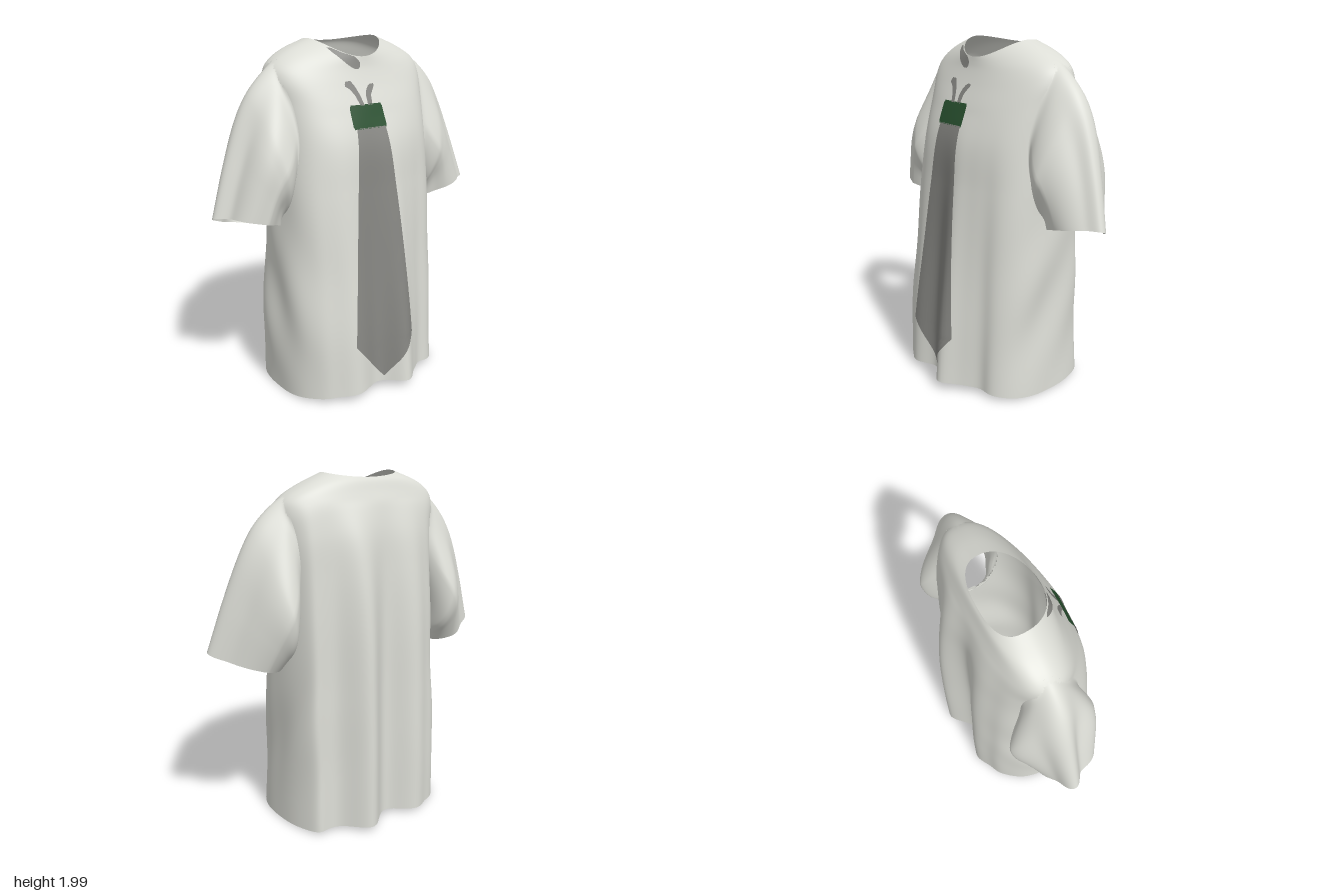
import * as THREE from 'three';

const fabric = new THREE.MeshStandardMaterial({ color: 0xdcddd6, side: THREE.DoubleSide });
fabric.name = 'offWhiteFabric';
const grey = new THREE.MeshStandardMaterial({ color: 0x868682, side: THREE.DoubleSide });
grey.name = 'greyPrint';
const green = new THREE.MeshStandardMaterial({ color: 0x28502f, side: THREE.DoubleSide });
green.name = 'darkGreenPrint';

const { smoothstep } = THREE.MathUtils;
const bump = (v, centre, width) => Math.exp(-(((v - centre) / width) ** 2));

// Smooth lookup through rows of [t, ...values]
function profile(rows) {
  const values = rows.flatMap((r) => r.slice(1));
  const curve = new THREE.CubicInterpolant(rows.map((r) => r[0]), values, rows[0].length - 1);
  return (t) => Array.from(curve.evaluate(t));
}

// Grid of points joined into a surface; closed wraps the columns, isHole leaves faces out
function surface(point, rows, cols, closed, isHole = () => false) {
  const pos = [], idx = [];
  const n = closed ? cols : cols + 1;
  for (let i = 0; i <= rows; i++)
    for (let j = 0; j < n; j++) pos.push(...point(i / rows, j / cols));
  for (let i = 0; i < rows; i++)
    for (let j = 0; j < cols; j++) {
      if (isHole((i + 0.5) / rows, (j + 0.5) / cols)) continue;
      const a = i * n + j, b = i * n + ((j + 1) % n), c = a + n, d = b + n;
      idx.push(a, c, b, b, c, d);
    }
  const g = new THREE.BufferGeometry();
  g.setAttribute('position', new THREE.Float32BufferAttribute(pos, 3));
  g.setIndex(idx);
  g.computeVertexNormals();
  return g;
}

function part(name, geometry, material) {
  const m = new THREE.Mesh(geometry, material);
  m.name = name;
  return m;
}

// Body rings: t, front y, side y, back y, right x, left x, front z, back z, squareness
const bodyAt = profile([
  [0.00, 0.06, 0.01, 0.04, -0.54, 0.47, 0.375, -0.385, 3.0],
  [0.20, 0.40, 0.40, 0.40, -0.54, 0.455, 0.36, -0.38, 3.0],
  [0.40, 0.80, 0.80, 0.80, -0.515, 0.46, 0.33, -0.37, 2.9],
  [0.58, 1.20, 1.20, 1.20, -0.50, 0.46, 0.30, -0.36, 2.8],
  [0.70, 1.45, 1.48, 1.48, -0.49, 0.465, 0.275, -0.345, 2.6],
  [0.78, 1.62, 1.67, 1.67, -0.50, 0.48, 0.22, -0.325, 2.45],
  [0.85, 1.75, 1.80, 1.81, -0.52, 0.49, 0.165, -0.29, 2.3],
  [0.91, 1.83, 1.875, 1.90, -0.49, 0.455, 0.135, -0.255, 2.1],
  [0.96, 1.87, 1.94, 1.95, -0.39, 0.34, 0.125, -0.235, 2.0],
  [1.00, 1.90, 1.995, 1.97, -0.25, 0.20, 0.12, -0.22, 2.0],
]);

// Drape folds: x position, width, depth at the hem
const frontFolds = [[-0.27, 0.1, 0.045], [0.05, 0.09, 0.095], [-0.1, 0.07, -0.015], [0.26, 0.06, -0.03], [-0.43, 0.05, 0.012]];
const backFolds = [[-0.24, 0.1, 0.055], [0.12, 0.09, 0.085], [-0.06, 0.08, -0.04], [0.27, 0.06, -0.02], [0.4, 0.05, 0.04], [-0.4, 0.06, 0.02]];

function bodyPoint(t, u) {
  const [yF, yS, yB, xR, xL, zF, zB, square] = bodyAt(t);
  const a = u * Math.PI * 2, c = Math.cos(a), s = Math.sin(a);
  const n = square + (s < 0 ? 0.7 * smoothstep(t, 0.8, 1) : 0);
  const r = (Math.abs(c) ** n + Math.abs(s) ** n) ** (-1 / n);
  const ridge = -0.09 * smoothstep(t, 0.4, 0.9);
  const x = (xL + xR) / 2 + ((xL - xR) / 2) * r * c;
  const y = yS + ((s > 0 ? yF : yB) - yS) * s * s;
  let z = ridge + ((s > 0 ? zF : zB) - ridge) * r * Math.abs(s);
  // back folds run up to the shoulder blades
  const fade = Math.max(0, 1 - (s > 0 ? y / 1.6 : (y / 1.85) ** 3.5)) * Math.min(1, Math.abs(s) * 1.6);
  for (const [fx, w, d] of s > 0 ? frontFolds : backFolds)
    z += Math.sign(s) * d * fade * bump(x, fx, w);
  // soft side creases
  const crease = 0.01 * Math.sin(y * 9 + z * 14) * c * c * bump(y, 0.6, 0.45);
  return [x + crease * Math.sign(c), y, z];
}

// Armholes: ovals on the body grid, centred on each side
const armhole = { t: 0.725, height: 0.205, width: 0.085 };
const inArmhole = (t, u) => {
  const du = Math.abs(((u * 2 + 0.5) % 1) - 0.5) / 2;
  return Math.hypot((t - armhole.t) / armhole.height, du / armhole.width) < 0.93;
};

// Sleeve rings: t, outer x, outer y, inner x, inner y, front z, back z
const sleeveAt = profile([
  [0.00, 0.46, 1.86, 0.45, 1.09, 0.10, -0.25],
  [0.20, 0.54, 1.815, 0.46, 1.07, 0.155, -0.31],
  [0.35, 0.61, 1.74, 0.47, 1.05, 0.17, -0.33],
  [0.55, 0.69, 1.60, 0.48, 1.03, 0.16, -0.32],
  [0.80, 0.785, 1.35, 0.485, 1.01, 0.14, -0.27],
  [1.00, 0.87, 1.08, 0.485, 0.99, 0.125, -0.215],
]);

// Sleeve folds: angle from the outer edge toward the front, width, depth
const sleeveFolds = {
  right: [[0.6, 0.3, -0.16], [1.1, 0.3, 0.2], [2.1, 0.4, -0.1], [-0.8, 0.3, -0.1], [-1.4, 0.3, 0.06]],
  left: [[0.6, 0.3, -0.1], [1.2, 0.3, 0.05], [2, 0.35, -0.08], [-0.7, 0.3, -0.12], [-1.3, 0.3, 0.06]],
};

function sleeve(name, side) {
  const folds = sleeveFolds[name];
  const point = (t, u) => {
    const [ox, oy, ix, iy, zF, zB] = sleeveAt(t);
    const a = (u * 2 - 1) * Math.PI, c = Math.cos(a), s = Math.sin(a);
    const outer = Math.max(0, c);
    let k = 1;
    for (const [fa, w, d] of folds) k += d * bump(a, fa, w) * smoothstep(t, 0.1, 0.75);
    const along = (c - 0.22 * s * s) * k;
    const shift = side < 0 ? 0.025 * (1 - t * outer) : 0;
    const x = (ox + ix) / 2 + ((ox - ix) / 2) * along + shift;
    const y = (oy + iy) / 2 + ((oy - iy) / 2) * along + 0.035 * t * s;
    // narrow toward the outer edge, which leans back on the right and forward on the left
    const z = (zF + zB) / 2 + ((zF - zB) / 2) * s * k * (1 - 0.38 * outer) + side * 0.05 * t * t * outer;
    // grow out of the armhole
    const du = armhole.width * s;
    const root = bodyPoint(armhole.t + armhole.height * c, side > 0 ? du : 0.5 - du);
    const w = Math.sin(Math.min(1, t / 0.4) * Math.PI / 2);
    return [side * x, y, z].map((v, i) => root[i] + (v - root[i]) * w);
  };
  return part(name + 'Sleeve', surface(point, 48, 96, true), fabric);
}

// Printed shapes: rows of y, right edge x, left edge x
const prints = [
  ['tieBlade', grey, 60, 16, [[0.095, -0.072, -0.066], [0.335, -0.278, 0.115], [1.535, -0.168, 0.022]]],
  ['tieKnot', green, 8, 12, [[1.53, -0.18, 0.028], [1.54, -0.187, 0.031], [1.64, -0.187, 0.028], [1.655, -0.178, 0.022]]],
  ['rightStrand', grey, 10, 4, [[1.65, -0.115, -0.088], [1.70, -0.132, -0.1], [1.735, -0.155, -0.114], [1.755, -0.187, -0.124], [1.778, -0.172, -0.142]]],
  ['leftStrand', grey, 10, 4, [[1.65, -0.064, -0.035], [1.70, -0.063, -0.028], [1.73, -0.05, -0.006], [1.745, -0.037, 0.007], [1.757, -0.018, 0.005]]],
  ['collarMark', grey, 14, 10, [[1.837, -0.095, -0.068], [1.85, -0.12, -0.058], [1.87, -0.145, -0.055], [1.9, -0.175, -0.08], [1.925, -0.2, -0.15], [1.95, -0.218, -0.2]]],
];

export function createModel() {
  const group = new THREE.Group();
  group.name = 'tShirt';
  const body = part('body', surface(bodyPoint, 100, 180, true, inArmhole), fabric);
  group.add(body, sleeve('right', -1), sleeve('left', 1));

  // Prints follow the front of the body, on its outside and inside
  body.updateMatrixWorld();
  const ray = new THREE.Raycaster();
  const inward = new THREE.Vector3(0, 0, -1);
  const frontZ = (x, y) => {
    ray.set(new THREE.Vector3(x, y, 2), inward);
    return ray.intersectObject(body)[0].point.z;
  };
  for (const [name, material, rows, cols, outline] of prints) {
    const edges = (y) => {
      const k = Math.max(1, outline.findIndex((row) => row[0] >= y - 1e-6));
      const [a, b] = [outline[k - 1], outline[k]];
      const f = (y - a[0]) / (b[0] - a[0]);
      return [a[1] + (b[1] - a[1]) * f, a[2] + (b[2] - a[2]) * f];
    };
    const point = (v, u) => {
      const y = outline[0][0] + (outline.at(-1)[0] - outline[0][0]) * v;
      const [right, left] = edges(y);
      const x = left + (right - left) * u;
      return [x, y, frontZ(x, y)];
    };
    const geometry = surface(point, rows, cols, false);
    const outside = part(name, geometry, material);
    outside.position.z = 0.005;
    const inside = part(name + 'Inside', geometry, material);
    inside.position.z = -0.005;
    group.add(outside, inside);
  }
  return group;
}
